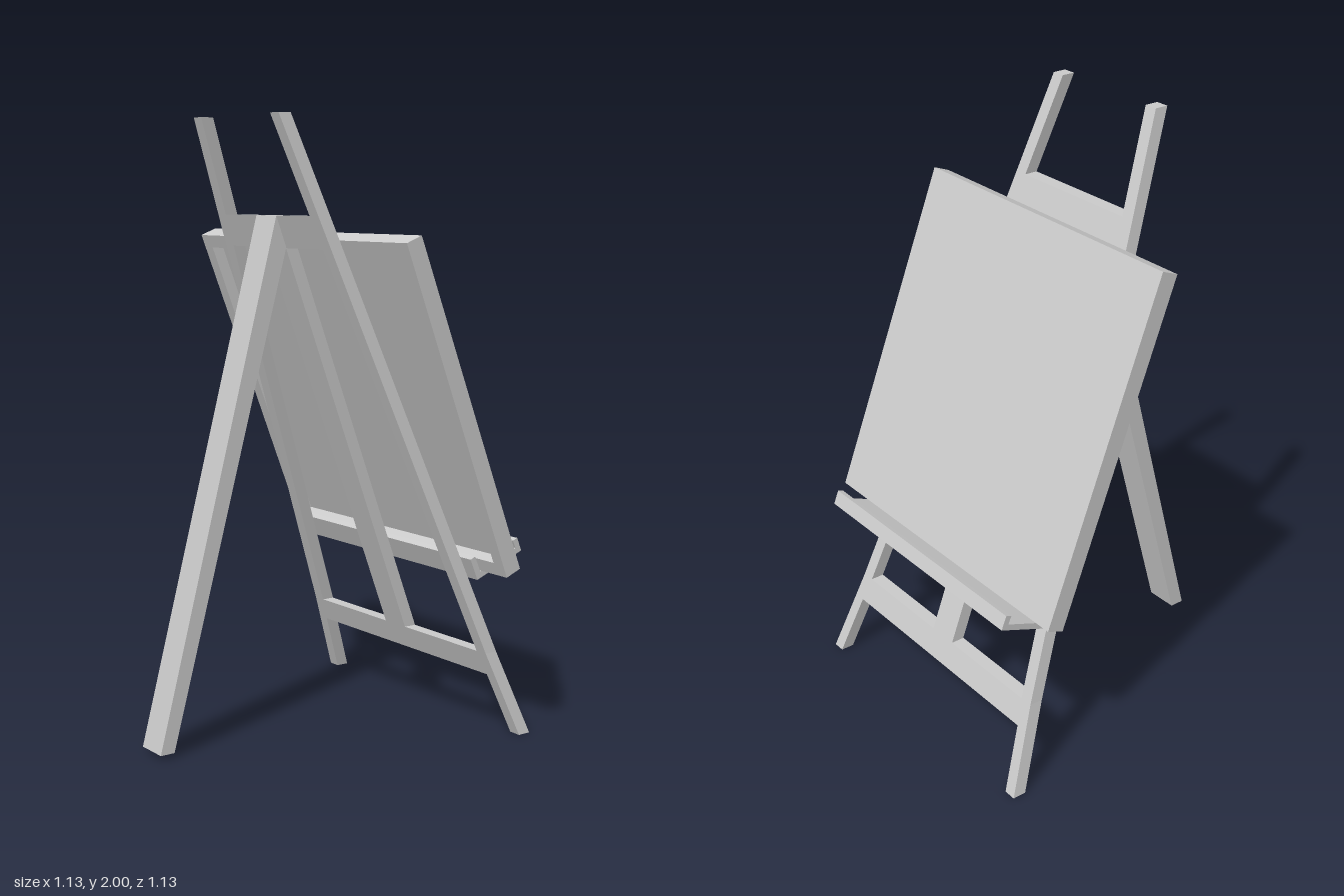
import * as THREE from 'three';

const material = new THREE.MeshStandardMaterial({ color: 0xcccccc, flatShading: true });
const CENTRE = -0.03; // the frame, stand and tray sit slightly off the board's centre

const points = (list) => list.map(([x, y]) => new THREE.Vector2(x, y));

function addMesh(parent, name, geometry) {
  const mesh = new THREE.Mesh(geometry, material);
  mesh.name = name;
  parent.add(mesh);
  return mesh;
}

function extrude(shape, depth) {
  return new THREE.ExtrudeGeometry(shape, { depth, bevelEnabled: false });
}

// Side profile given as [z, y] pairs, extruded across x with its middle at CENTRE
function sideProfile(list, width) {
  return extrude(new THREE.Shape(points(list)), width)
    .rotateY(-Math.PI / 2)
    .translate(CENTRE + width / 2, 0, 0);
}

// Two splayed legs, two crossbars and a middle strut, leaning towards +z at the top
function frameGeometry() {
  const half = [
    [0.443, 0.2], [0.478, 0], [0.52, 0], [0.47, 0.28], [0.24, 2], [0.195, 2], [0.236, 1.69],
  ];
  const mirrored = half.map(([x, y]) => [-x, y]).reverse();
  const shape = new THREE.Shape(points([...half, ...mirrored]));
  for (const s of [-1, 1]) {
    const opening = [[0.053, 0.28], [0.425, 0.28], [0.25, 1.587], [0.053, 1.587]];
    shape.holes.push(new THREE.Path(points(opening.map(([x, y]) => [s * x, y]))));
  }
  const lean = new THREE.Matrix4().set(
    1, 0, 0, CENTRE,
    0, 1, 0, 0,
    0, 0.38, 1, -0.565,
    0, 0, 0, 1);
  return extrude(shape, 0.045).applyMatrix4(lean);
}

// Shallow board: a rim around a recessed panel, open towards the stand
function makeBoard() {
  const board = new THREE.Group();
  board.name = 'board';
  const w = 0.565, h = 1.134, rim = 0.045, thick = 0.06, panel = 0.02;

  const rect = (x, y0, y1) => points([[-x, y0], [x, y0], [x, y1], [-x, y1]]);
  const rimShape = new THREE.Shape(rect(w, 0, h));
  rimShape.holes.push(new THREE.Path(rect(w - rim, rim, h - rim)));
  addMesh(board, 'boardRim', extrude(rimShape, thick - panel).translate(0, 0, panel - thick));
  addMesh(board, 'boardPanel',
    new THREE.BoxGeometry(2 * w, h, panel).translate(0, h / 2, panel / 2 - thick));

  board.position.set(0, 0.56, -0.385);
  board.rotation.x = 0.375;
  return board;
}

export function createModel() {
  const model = new THREE.Group();
  model.name = 'easel';

  addMesh(model, 'frame', frameGeometry());

  // Support leg, its top cut to lie against the frame
  addMesh(model, 'supportLeg', sideProfile(
    [[0.515, 0.015], [0.565, 0.015], [0.122, 1.69], [0.084, 1.59]], 0.112));

  // Ledge with a low back and a raised lip
  addMesh(model, 'tray', sideProfile([
    [-0.375, 0.53], [-0.345, 0.6], [-0.364, 0.608], [-0.387, 0.556],
    [-0.538, 0.614], [-0.526, 0.64], [-0.545, 0.647], [-0.563, 0.603],
  ], 0.935));

  model.add(makeBoard());
  return model;
}
